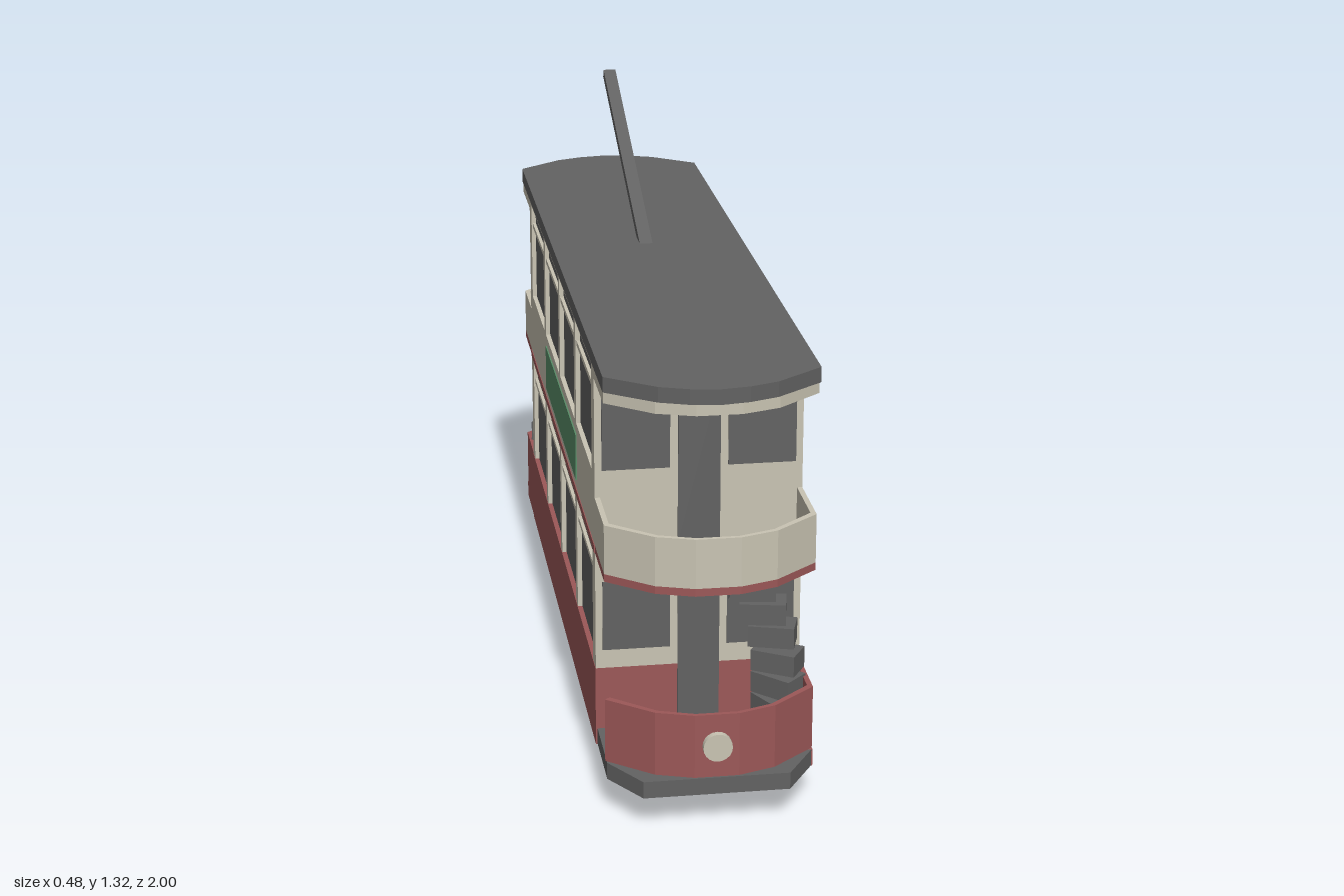
import * as THREE from 'three';

const mat = (name, color) => {
  const m = new THREE.MeshStandardMaterial({ color });
  m.name = name;
  return m;
};

export function createModel() {
  const red = mat('maroon red', 0x9c5858);
  const cream = mat('cream', 0xc9c4b3);
  const grey = mat('dark grey', 0x626262);
  const green = mat('panel green', 0x5a8f69);
  const model = new THREE.Group();
  model.name = 'doubleDeckTram';

  const add = (parent, name, geometry, material) => {
    const mesh = new THREE.Mesh(geometry, material);
    mesh.name = name;
    parent.add(mesh);
    return mesh;
  };
  // Box given by its minimum and maximum on each axis
  const box = (parent, name, material, x0, x1, y0, y1, z0, z1) => {
    const mesh = add(parent, name, new THREE.BoxGeometry(x1 - x0, y1 - y0, z1 - z0), material);
    mesh.position.set((x0 + x1) / 2, (y0 + y1) / 2, (z0 + z1) / 2);
    return mesh;
  };
  // Plan outline in [x, z], raised from y0 to y1
  const slab = (parent, name, material, plan, y0, y1) => {
    const shape = new THREE.Shape(plan.map(([x, z]) => new THREE.Vector2(x, z)));
    const g = new THREE.ExtrudeGeometry(shape, { depth: y1 - y0, bevelEnabled: false });
    g.rotateX(Math.PI / 2).translate(0, y1, 0);
    return add(parent, name, g, material);
  };
  // Thin upright wall following a plan line
  const wall = (parent, name, material, line, y0, y1, t = 0.012) => {
    const inner = line.map(([x, z]) => [x * (1 - t / 0.235), z > 0.8 ? z - t * 0.8 : z]);
    return slab(parent, name, material, [...line, ...inner.reverse()], y0, y1);
  };
  const mirrorX = (half) => [...half, ...half.filter(([x]) => x !== 0).reverse().map(([x, z]) => [-x, z])];
  const bothEnds = (front) => [...front, ...front.map(([x, z]) => [-x, -z])];

  const curve = mirrorX([[0.236, 0.875], [0.135, 0.957], [0.05, 0.985]]);
  const balconyLine = [[0.236, 0.71], ...curve, [-0.236, 0.71]];
  const roofEnd = mirrorX([[0.238, 0.885], [0.13, 0.966], [0.065, 0.99], [0, 1]]);
  const floorEnd = mirrorX([[0.233, 0.885], [0.165, 0.99]]);

  // Underframe, saloon core and roof
  slab(model, 'underframe', grey, bothEnds(floorEnd), 0.08, 0.12);
  box(model, 'saloonGlazing', grey, -0.225, 0.225, 0.11, 1.0, -0.7, 0.7);
  slab(model, 'roof', grey, bothEnds(roofEnd), 1.0, 1.035);

  // Side panels, window pillars and rails
  for (const s of [-1, 1]) {
    const side = new THREE.Group();
    side.name = s > 0 ? 'leftSide' : 'rightSide';
    model.add(side);
    const strip = (name, m, y0, y1, z0, z1, out = 0.236) =>
      box(side, name, m, Math.min(s * 0.222, s * out), Math.max(s * 0.222, s * out), y0, y1, z0, z1);
    strip('lowerPanel', red, 0.08, 0.272, -0.71, 0.71, 0.237);
    strip('waistStripe', red, 0.557, 0.575, -0.71, 0.71, 0.238);
    strip('waistPanel', cream, 0.575, 0.74, -0.71, 0.71);
    strip('greenPanel', green, 0.6, 0.715, -0.305, 0.362, 0.239);
    for (const [y0, y1, rail] of [[0.272, 0.557, 0.5], [0.74, 1.0, 0.938]]) {
      for (const [z, w] of [[-0.685, 0.05], [-0.338, 0.035], [0, 0.03], [0.338, 0.035], [0.685, 0.05]])
        strip('windowPillar', cream, y0, y1, z - w / 2, z + w / 2);
      strip('windowRail', cream, rail - 0.006, rail + 0.006, -0.66, 0.66, 0.233);
    }
    strip('lowerHeadRail', cream, 0.549, 0.557, -0.66, 0.66);
    strip('upperHeadRail', cream, 0.992, 1.0, -0.66, 0.66);
  }

  // Both platforms are alike, turned half a circle
  const buildEnd = (name) => {
    const end = new THREE.Group();
    end.name = name;
    model.add(end);

    // Bulkhead with doors and windows
    box(end, 'lowerBulkhead', red, -0.224, 0.224, 0.12, 0.272, 0.69, 0.71);
    box(end, 'upperBulkhead', cream, -0.224, 0.224, 0.272, 1.0, 0.69, 0.71);
    box(end, 'lowerDoor', grey, -0.048, 0.048, 0.12, 0.538, 0.708, 0.715);
    box(end, 'upperDoor', grey, -0.048, 0.048, 0.575, 0.975, 0.708, 0.715);
    for (const [y0, y1] of [[0.318, 0.485], [0.755, 0.925]])
      for (const x of [-0.143, 0.143])
        box(end, 'endWindow', grey, x - 0.077, x + 0.077, y0, y1, 0.708, 0.714);

    // Dash, closed on the stair side and open on the boarding side
    wall(end, 'dash', red, [[0.236, 0.71], ...curve], 0.12, 0.272);
    box(end, 'dashSkirt', red, 0.222, 0.236, 0.08, 0.12, 0.71, 0.885);
    const lamp = add(end, 'headlamp', new THREE.CylinderGeometry(0.033, 0.033, 0.03, 20), cream);
    lamp.rotation.x = Math.PI / 2;
    lamp.position.set(0, 0.197, 0.985);

    // Balcony
    slab(end, 'balconyFloor', grey, balconyLine.map(([x, z]) => [x * 0.98, z > 0.8 ? z - 0.005 : z]), 0.558, 0.577);
    wall(end, 'balconyStripe', red, balconyLine, 0.557, 0.575);
    wall(end, 'balconyParapet', cream, balconyLine, 0.575, 0.69);

    // Canopy rim and ribs
    wall(end, 'canopyRim', cream, balconyLine, 0.972, 1.0, 0.015);
    for (const x of [-0.09, 0.09]) box(end, 'canopyRib', cream, x - 0.008, x + 0.008, 0.978, 1.0, 0.71, 0.96);
    box(end, 'canopyCrossRib', cream, -0.226, 0.226, 0.978, 1.0, 0.835, 0.85);

    // Winding stair: centre x, centre z, turn
    const steps = [
      [0.085, 0.748, 0], [0.115, 0.755, 0.12], [0.14, 0.763, 0.2], [0.162, 0.768, 0.3],
      [0.17, 0.79, 0.55], [0.17, 0.8, 0.8], [0.165, 0.812, 1.1], [0.15, 0.825, 1.4],
    ];
    steps.forEach(([x, z, turn], i) => {
      const step = add(end, 'stairStep', new THREE.BoxGeometry(i ? 0.105 : 0.08, 0.05, 0.068), grey);
      step.position.set(x, 0.53 - i * 0.0555, z);
      step.rotation.y = -turn;
    });
    return end;
  };
  buildEnd('frontPlatform');
  buildEnd('rearPlatform').rotation.y = Math.PI;

  // Trucks with wheels
  for (const [z0, z1] of [[0.375, 0.592], [-0.575, -0.358]]) {
    const truck = new THREE.Group();
    truck.name = 'truck';
    model.add(truck);
    box(truck, 'truckFrame', grey, -0.16, 0.175, 0.032, 0.09, z0, z1);
    for (const z of [z0, z1])
      for (const x of [-0.17, 0.185]) {
        const wheel = add(truck, 'wheel', new THREE.CylinderGeometry(0.053, 0.053, 0.032, 20), grey);
        wheel.rotation.z = Math.PI / 2;
        wheel.position.set(x, 0.053, z);
      }
  }

  // Trolley pole
  const a = new THREE.Vector3(-0.004, 1.022, -0.11), b = new THREE.Vector3(-0.004, 1.307, -0.828);
  const pole = add(model, 'trolleyPole', new THREE.BoxGeometry(0.032, 0.022, a.distanceTo(b)), grey);
  pole.position.copy(a).lerp(b, 0.5);
  pole.rotation.x = Math.atan2(b.y - a.y, a.z - b.z);

  return model;
}
